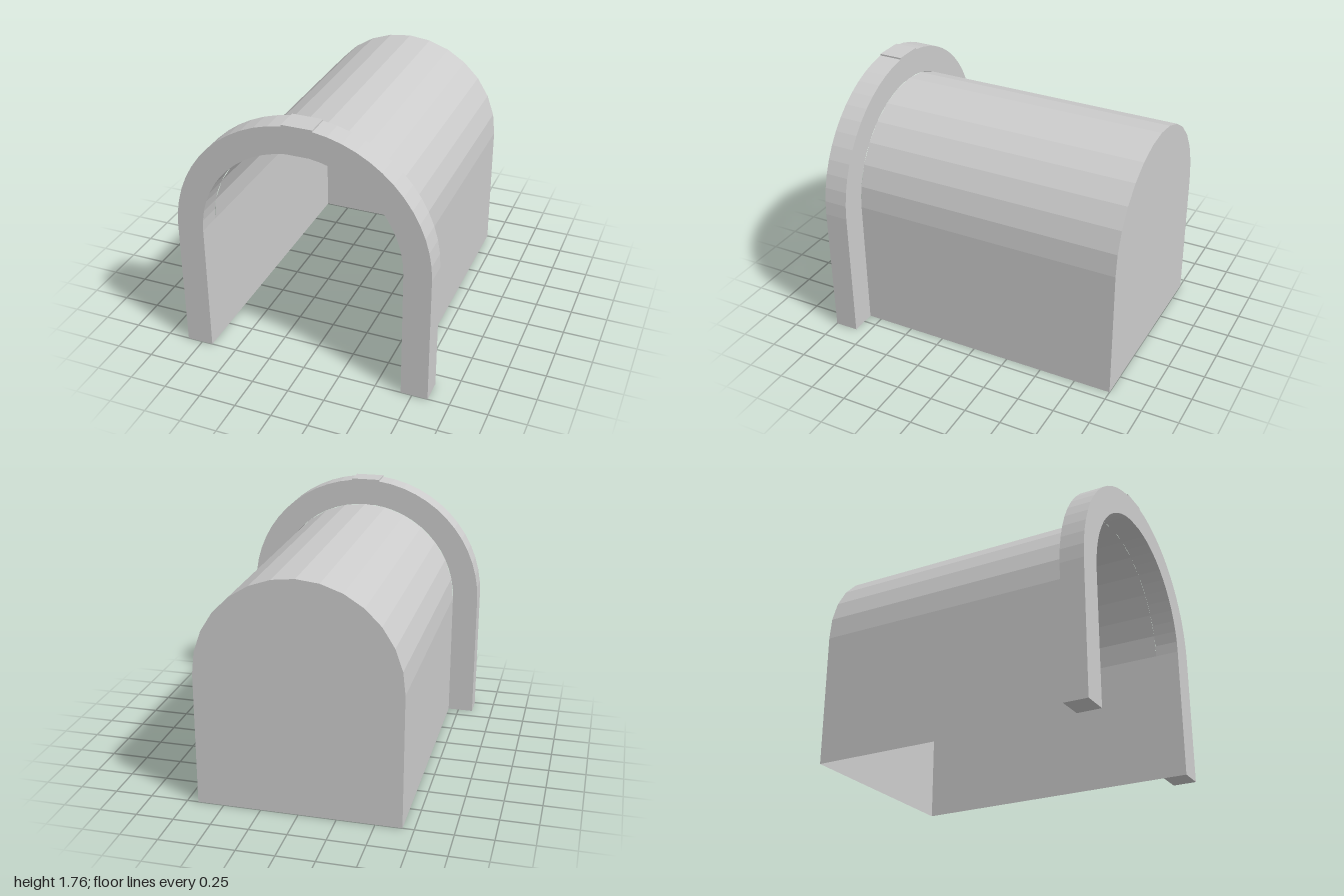
import * as THREE from 'three';

const SPRING = 0.9;         // height where the straight walls meet the vault
const INNER = 0.675;        // vault radius
const OUTER = 0.855;        // radius of the portal ring
const JOIN = 0.84, BACK = -1, FRONT = 1;

// Outline from the left foot, over the semicircle, to the right foot
function archPoints(radius, segments) {
  const points = [new THREE.Vector2(-radius, 0)];
  for (let i = 0; i <= segments; i++) {
    const a = Math.PI * (1 - i / segments);
    points.push(new THREE.Vector2(radius * Math.cos(a), SPRING + radius * Math.sin(a)));
  }
  points.push(new THREE.Vector2(radius, 0));
  return points;
}

export function createModel() {
  const group = new THREE.Group();
  const stone = new THREE.MeshStandardMaterial({ color: 0xcccccc, flatShading: true, side: THREE.DoubleSide });
  stone.name = 'grey stone';

  const add = (name, geometry, z = 0) => {
    const mesh = new THREE.Mesh(geometry, stone);
    mesh.name = name;
    mesh.position.z = z;
    group.add(mesh);
    return mesh;
  };

  // Thin vault: a strip bent along the arch outline
  const profile = archPoints(INNER, 14);
  const columns = profile.length;
  const vault = new THREE.PlaneGeometry(1, 1, columns - 1, 1);
  const pos = vault.attributes.position;
  for (let i = 0; i < pos.count; i++) {
    const p = profile[i % columns];
    pos.setXYZ(i, p.x, p.y, i < columns ? BACK : JOIN);
  }
  vault.computeVertexNormals();
  add('tunnelVault', vault);

  // Closed rear end
  const wall = add('backWall', new THREE.ShapeGeometry(new THREE.Shape(profile)), BACK);
  wall.rotation.y = Math.PI;

  // Front portal ring, with a flat raised keystone at the crown
  const key = 0.1, keyTop = 1.76;
  const ringTop = SPRING + Math.sqrt(OUTER * OUTER - key * key);
  const outer = archPoints(OUTER, 28);
  const outline = [
    ...outer.filter(p => p.x < -key),
    new THREE.Vector2(-key, ringTop), new THREE.Vector2(-key, keyTop),
    new THREE.Vector2(key, keyTop), new THREE.Vector2(key, ringTop),
    ...outer.filter(p => p.x > key),
    ...archPoints(INNER, 28).filter(p => Math.abs(p.x) > 0.01).reverse(),
  ];
  const portal = new THREE.ExtrudeGeometry(new THREE.Shape(outline), { depth: FRONT - JOIN, bevelEnabled: false });
  add('portalArch', portal, JOIN);

  return group;
}
